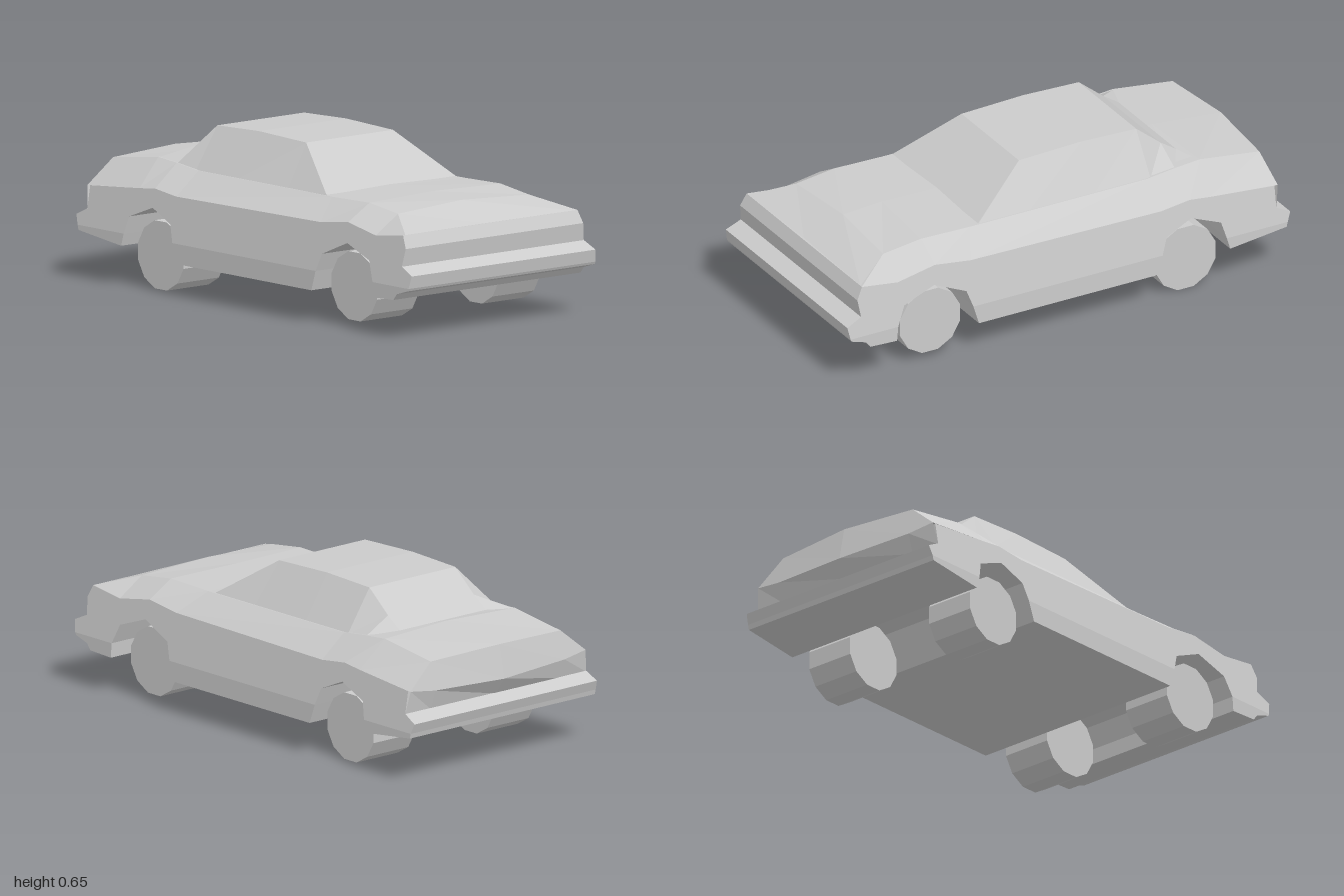
import * as THREE from 'three';

const material = new THREE.MeshStandardMaterial({ color: 0xcccccc, flatShading: true, side: THREE.DoubleSide });

// Half width of the body at height y: upright sill, sides leaning in above it
const halfWidth = (y) => 0.485 - Math.max(0, y - 0.21) * 0.165;

function part(name, geometry) {
  const mesh = new THREE.Mesh(geometry, material);
  mesh.name = name;
  return mesh;
}

// Side outline of [z, y] points extruded across the car and fitted to the body width
function slab(name, outline) {
  const shape = new THREE.Shape(outline.map(([z, y]) => new THREE.Vector2(z, y)));
  const geometry = new THREE.ExtrudeGeometry(shape, { depth: 1, bevelEnabled: false });
  geometry.translate(0, 0, -0.5).rotateY(-Math.PI / 2);
  const p = geometry.attributes.position;
  for (let i = 0; i < p.count; i++) p.setX(i, Math.sign(p.getX(i)) * halfWidth(p.getY(i)));
  geometry.computeVertexNormals();
  return part(name, geometry);
}

// Skin over cross-sections ordered front to back; each lists [x, y, z] from the left edge
// inwards and is mirrored to the right
function skin(name, sections) {
  const rows = sections.map((half) => {
    const mirrored = half.filter(([x]) => x > 0).reverse().map(([x, y, z]) => [-x, y, z]);
    return [...half, ...mirrored];
  });
  const positions = [];
  for (let i = 0; i + 1 < rows.length; i++) {
    for (let j = 0; j + 1 < rows[i].length; j++) {
      const a = rows[i][j], b = rows[i][j + 1], c = rows[i + 1][j + 1], d = rows[i + 1][j];
      positions.push(...a, ...d, ...c, ...a, ...c, ...b);
    }
  }
  const geometry = new THREE.BufferGeometry();
  geometry.setAttribute('position', new THREE.Float32BufferAttribute(positions, 3));
  geometry.computeVertexNormals();
  return part(name, geometry);
}

export function createModel() {
  const car = new THREE.Group();
  car.name = 'car';

  // Shoulder line shared by the body sides and the deck, front to back
  const shoulder = [
    [0.92, 0.41], [0.76, 0.39], [0.59, 0.42], [0.43, 0.4],
    [-0.43, 0.39], [-0.56, 0.405], [-0.65, 0.395], [-0.94, 0.37],
  ];

  // Body sides with nose, wheel arches and bumper tops
  car.add(slab('bodySides', [
    [0.945, 0.36], [0.935, 0.29], [1, 0.26], [0.99, 0.21],
    [0.775, 0.21], [0.74, 0.29], [0.6, 0.34], [0.46, 0.28], [0.435, 0.21],
    [-0.42, 0.21], [-0.445, 0.28], [-0.56, 0.33], [-0.69, 0.28], [-0.71, 0.21],
    [-0.985, 0.21], [-1, 0.25], [-0.94, 0.28],
    ...[...shoulder].reverse(),
  ]));

  // Upright lower parts
  car.add(slab('frontBumper', [
    [0.99, 0.21], [0.985, 0.2], [0.92, 0.18], [0.9, 0.155], [0.78, 0.15], [0.775, 0.21],
  ]));
  car.add(slab('sillAndFloor', [[0.435, 0.21], [0.41, 0.13], [-0.39, 0.13], [-0.42, 0.21]]));
  car.add(slab('rearBumper', [[-0.71, 0.21], [-0.725, 0.16], [-0.98, 0.19], [-0.985, 0.21]]));

  // Bonnet and boot: deck edge [x, y, z] and centre line [y, z] at each shoulder point
  const deck = [
    [[0.44, 0.409, 0.92], [0.405, 0.92]],
    [[0.34, 0.463, 0.76], [0.478, 0.745]],
    [[0.34, 0.485, 0.59], [0.49, 0.57]],
    [[0.34, 0.48, 0.37], [0.486, 0.355]],
    [[0.34, 0.48, -0.43], [0.485, -0.43]],
    [[0.34, 0.495, -0.56], [0.497, -0.56]],
    [[0.34, 0.504, -0.67], [0.51, -0.65]],
  ];
  const sections = deck.map(([edge, [y, z]], i) => {
    const [sz, sy] = shoulder[i];
    return [[halfWidth(sy), sy, sz], edge, [0, y, z]];
  });
  // Tail panel: upper edge, lip and undercut
  const corner = [halfWidth(0.37), 0.37, -0.955];
  sections.push(
    [corner, [0.34, 0.468, -0.94], [0, 0.48, -0.962]],
    [corner, [0.34, 0.355, -0.965], [0, 0.345, -0.99]],
    [[halfWidth(0.275), 0.275, -0.94], [0.34, 0.275, -0.94], [0, 0.275, -0.94]],
  );
  car.add(skin('deckAndTail', sections));

  // Cabin: windscreen, roof, side windows and sloping rear window
  car.add(skin('cabin', [
    [[0.337, 0.478, 0.33], [0.335, 0.482, 0.328]],
    [[0.337, 0.478, 0.1], [0.225, 0.645, 0.08]],
    [[0.337, 0.478, -0.2], [0.225, 0.654, -0.2]],
    [[0.337, 0.478, -0.45], [0.225, 0.645, -0.45]],
    [[0.337, 0.493, -0.56], [0.225, 0.555, -0.56]],
    [[0.337, 0.502, -0.67], [0.225, 0.508, -0.63]],
  ]));

  // Twelve-sided wheels with flats at the bottom
  const wheelGeometry = new THREE.CylinderGeometry(0.14, 0.14, 0.215, 12);
  wheelGeometry.rotateY(Math.PI / 12).rotateZ(Math.PI / 2);
  for (const [end, y, z] of [['front', 0.163, 0.595], ['rear', 0.136, -0.56]]) {
    for (const [side, sign] of [['Left', 1], ['Right', -1]]) {
      const wheel = part(`${end}${side}Wheel`, wheelGeometry);
      wheel.position.set(sign * 0.315, y, z);
      car.add(wheel);
    }
  }
  return car;
}
